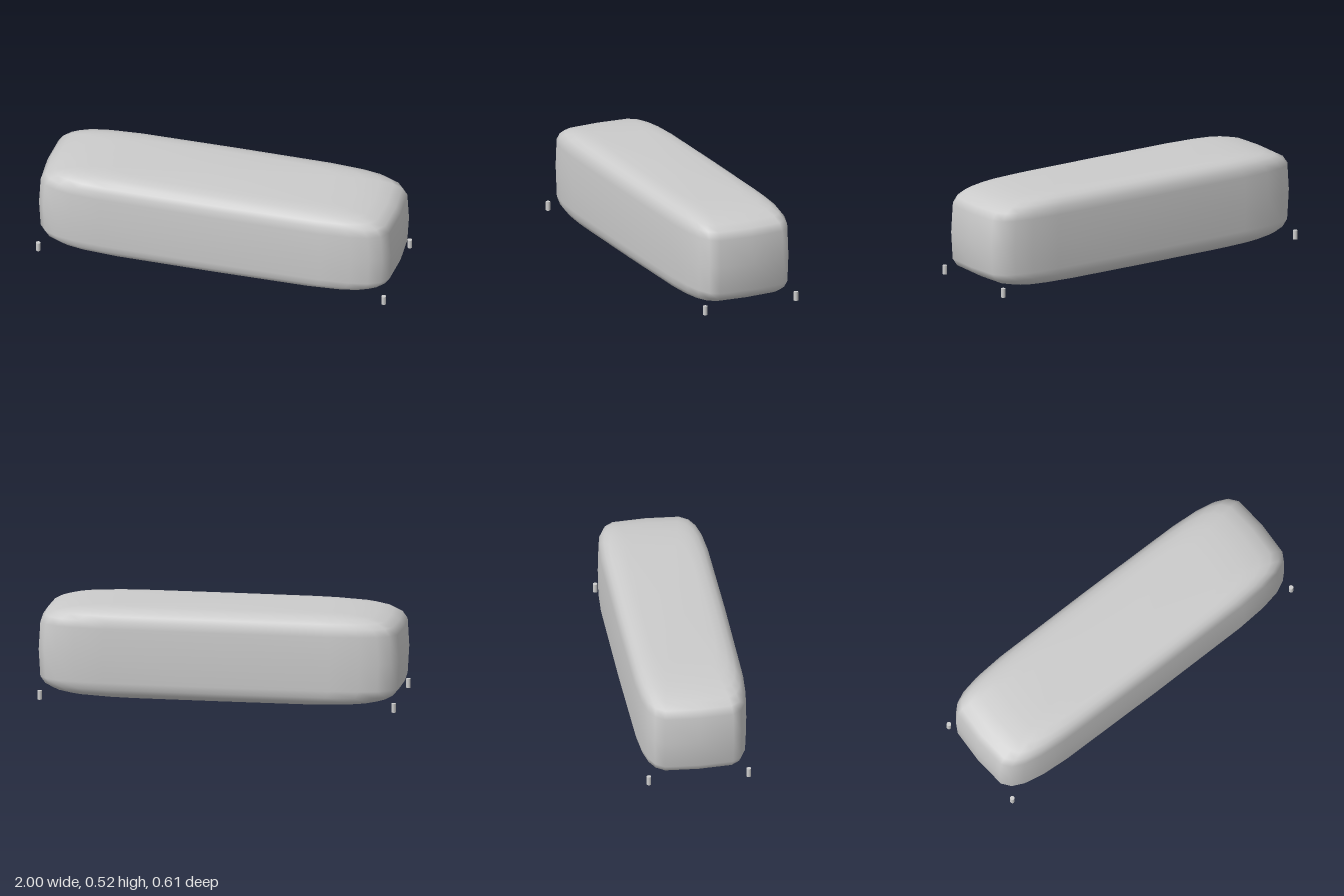
import * as THREE from 'three';
import { mergeVertices } from 'three/addons/utils/BufferGeometryUtils.js';

// Superellipsoid: a sphere whose coordinates are raised to a small power.
function superellipsoid(rx, ry, rz, exponent, around, rings) {
  let geo = new THREE.SphereGeometry(1, around, rings);
  geo.deleteAttribute('uv');
  geo.deleteAttribute('normal');
  const bulge = (v) => (Math.abs(v) < 1e-9 ? 0 : Math.sign(v) * Math.abs(v) ** exponent);
  const p = geo.attributes.position;
  for (let i = 0; i < p.count; i++) {
    p.setXYZ(i, rx * bulge(p.getX(i)), ry * bulge(p.getY(i)), rz * bulge(p.getZ(i)));
  }
  geo = mergeVertices(geo); // close the seam so the shading is continuous
  geo.computeVertexNormals();
  return geo;
}

export function createModel() {
  const model = new THREE.Group();
  model.name = 'pouf';
  const material = new THREE.MeshStandardMaterial({ color: 0xcccccc });

  // Long soft cushion
  const cushion = new THREE.Mesh(superellipsoid(1, 0.256, 0.303, 0.35, 24, 14), material);
  cushion.name = 'cushion';
  cushion.position.y = 0.26;
  model.add(cushion);

  // Four small feet at the corners
  const footGeo = new THREE.CylinderGeometry(0.0125, 0.0125, 0.05, 16);
  for (const [sx, side] of [[1, 'Left'], [-1, 'Right']]) {
    for (const [sz, end] of [[1, 'front'], [-1, 'back']]) {
      const foot = new THREE.Mesh(footGeo, material);
      foot.name = `${end}${side}Foot`;
      foot.position.set(sx * 0.97, 0.025, sz * 0.274);
      model.add(foot);
    }
  }
  return model;
}
